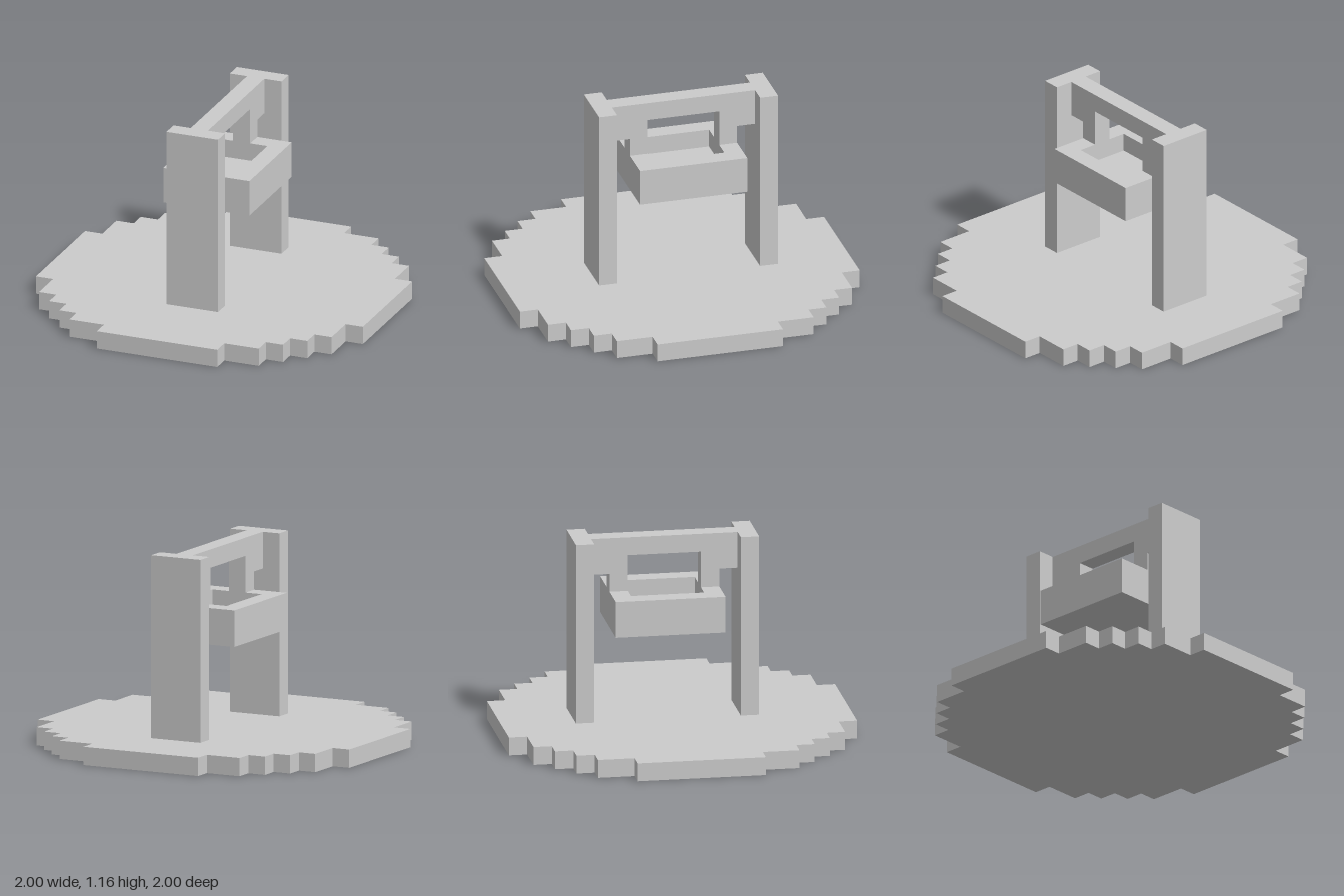
import * as THREE from 'three';

// Everything sits on a block grid: the base is 19 blocks wide
const U = 2 / 19;
const material = new THREE.MeshStandardMaterial({ color: 0xcccccc, flatShading: true });

const toShape = (points) =>
  new THREE.Shape(points.map(([a, b]) => new THREE.Vector2(a * U, b * U)));

const rect = (x0, x1, y0, y1) => [[x0, y0], [x1, y0], [x1, y1], [x0, y1]];

const extrude = (shape, depth) =>
  new THREE.ExtrudeGeometry(shape, { depth: depth * U, bevelEnabled: false });

// Plan outline (x, -z) raised from y0
const slab = (shape, y0, height) =>
  extrude(shape, height).rotateX(-Math.PI / 2).translate(0, y0 * U, 0);

function box(x0, x1, y0, y1, z0, z1) {
  return new THREE.BoxGeometry((x1 - x0) * U, (y1 - y0) * U, (z1 - z0) * U)
    .translate((x0 + x1) / 2 * U, (y0 + y1) / 2 * U, (z0 + z1) / 2 * U);
}

export function createModel() {
  const group = new THREE.Group();
  const add = (name, geometry) => {
    const mesh = new THREE.Mesh(geometry, material);
    mesh.name = name;
    group.add(mesh);
  };

  // Stepped round base: one quarter of the outline, turned four times
  const quarter = [
    [9.5, 3.5], [8.5, 3.5], [8.5, 5.5], [7.5, 5.5], [7.5, 6.5], [6.5, 6.5],
    [6.5, 7.5], [5.5, 7.5], [5.5, 8.5], [3.5, 8.5], [3.5, 9.5],
  ];
  const outline = [];
  for (let i = 0, pts = quarter; i < 4; i++) {
    outline.push(...pts);
    pts = pts.map(([x, y]) => [-y, x]);
  }
  add('base', slab(toShape(outline), 0, 1));

  // Upright posts
  add('frontPost', box(-1.5, 1.5, 1, 11, 3.5, 4.5));
  add('backPost', box(-1.5, 1.5, 1, 11, -5.5, -4.5));

  // Top beam with stepped hangers, profile in (z, y)
  const beam = toShape([
    [-4.5, 11], [-4.5, 9], [-3.5, 9], [-3.5, 8], [-2.5, 8], [-2.5, 10],
    [1.5, 10], [1.5, 8], [2.5, 8], [2.5, 9], [3.5, 9], [3.5, 11],
  ]);
  add('beamWithHangers', extrude(beam, 1).rotateY(-Math.PI / 2).translate(U / 2, 0, 0));

  // Hanging open tray: rim walls and floor
  const rim = toShape(rect(-2.5, 2.5, -2.5, 3.5));
  rim.holes.push(toShape(rect(-1.5, 1.5, -1.5, 2.5)));
  add('trayWalls', slab(rim, 6, 2));
  add('trayFloor', box(-1.5, 1.5, 6, 7, -2.5, 1.5));

  return group;
}
